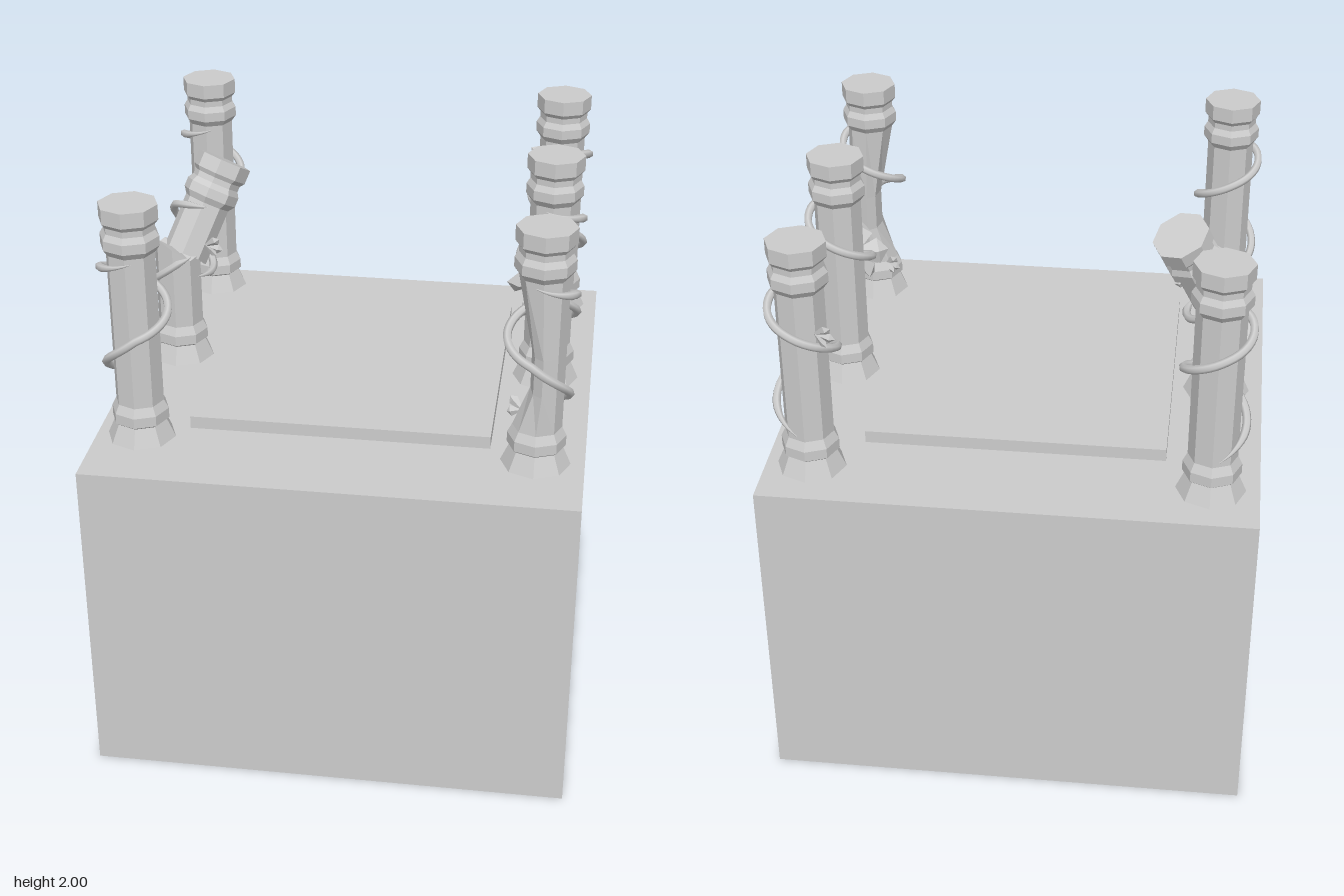
import * as THREE from 'three';

const SIDES = 8, FLOOR = 1.177;
const stone = new THREE.MeshStandardMaterial({ color: 0xcccccc, flatShading: true, side: THREE.DoubleSide });
const smooth = new THREE.MeshStandardMaterial({ color: 0xcccccc, side: THREE.DoubleSide });

// Column profiles as [radius, height]
const BASE = [[0, 1.177], [0.114, 1.177], [0.086, 1.24], [0.095, 1.247], [0.095, 1.282], [0.08, 1.312]];
const CAPITAL = [[0.08, 1.84], [0.096, 1.862], [0.096, 1.895], [0.084, 1.915], [0.084, 1.935],
  [0.096, 1.95], [0.096, 2], [0, 2]];

function add(parent, name, geometry, material = stone) {
  const mesh = new THREE.Mesh(geometry, material);
  mesh.name = name;
  parent.add(mesh);
  return mesh;
}

function lathe(profile) {
  return new THREE.LatheGeometry(profile.map(([r, y]) => new THREE.Vector2(r, y)), SIDES);
}

// Move every vertex of a geometry by a rule
function reshape(geometry, rule) {
  const p = geometry.attributes.position, v = new THREE.Vector3();
  for (let i = 0; i < p.count; i++) {
    rule(v.fromBufferAttribute(p, i));
    p.setXYZ(i, v.x, v.y, v.z);
  }
  geometry.computeVertexNormals();
  return geometry;
}

// Vine winding down the column; turns run from 0 (top tip) to 1 (bottom tip)
const VINE_Y = [1.83, 1.79, 1.72, 1.64, 1.57, 1.45, 1.34];
function vine(side, from = 0, to = 1) {
  const points = [];
  for (let i = 0; i <= 36; i++) {
    const t = from + (to - from) * i / 36;
    const k = Math.min(Math.floor(t * 6), 5), f = t * 6 - k;
    const y = VINE_Y[k] + (VINE_Y[k + 1] - VINE_Y[k]) * f;
    const a = Math.PI / 2 * (1.15 - t * 6);
    const r = 0.092 + 0.016 * Math.sin(Math.PI * t);
    points.push(new THREE.Vector3(side * r * Math.cos(a), y, r * Math.sin(a)));
  }
  const path = new THREE.CatmullRomCurve3(points), n = 56, ring = 7;
  const tube = new THREE.TubeGeometry(path, n, 0.014, ring - 1, false);
  // Taper both tips
  const p = tube.attributes.position, v = new THREE.Vector3();
  for (let i = 0; i <= n; i++) {
    const c = path.getPointAt(i / n), s = Math.min(1, 0.1 + 8 * Math.min(i / n, 1 - i / n));
    for (let j = 0; j < ring; j++) {
      v.fromBufferAttribute(p, i * ring + j).sub(c).multiplyScalar(s).add(c);
      p.setXYZ(i * ring + j, v.x, v.y, v.z);
    }
  }
  return tube;
}

// Faceted petal: narrow at the stem, wide near the tip
function petal(parent, start, end, width) {
  const a = new THREE.Vector3(...start), d = new THREE.Vector3(...end).sub(a), len = d.length();
  const g = new THREE.LatheGeometry([[0, 0], [width * 0.12, 0], [width * 0.5, len * 0.72], [0, len]]
    .map(([r, y]) => new THREE.Vector2(r, y)), 4);
  g.scale(1, 1, 0.6);
  const mesh = add(parent, 'petal', g);
  mesh.position.copy(a);
  mesh.quaternion.setFromUnitVectors(new THREE.Vector3(0, 1, 0), d.normalize());
}

// Small bud of three petals opening around a direction
function bud(parent, x, y, z, dx, dz) {
  const group = new THREE.Group();
  group.name = 'bud';
  for (const [u, w] of [[0.035, 0], [-0.02, 0.03], [-0.015, -0.03]]) {
    petal(group, [x, y, z], [x + dx - dz * w * 12, y + u, z + dz + dx * w * 12], 0.036);
  }
  parent.add(group);
}

function column(name, side, z) {
  const group = new THREE.Group();
  group.name = name;
  group.position.set(side * 0.65, 0, z);
  return group;
}

export function createModel() {
  const model = new THREE.Group();
  model.name = 'columnPlatform';

  // Plinth: four walls and a top, open underneath
  const plinth = new THREE.BoxGeometry(1.62, 1.155, 1.62).toNonIndexed();
  const open = new THREE.BufferGeometry();
  for (const key of ['position', 'normal']) {
    const a = Array.from(plinth.attributes[key].array);
    a.splice(18 * 3, 18); // bottom face
    open.setAttribute(key, new THREE.Float32BufferAttribute(a, 3));
  }
  add(model, 'plinth', open).position.y = 1.155 / 2;

  // Raised floor slab
  add(model, 'floorSlab', new THREE.BoxGeometry(1, 0.043, 1)).position.y = FLOOR + 0.0215;

  // Whole columns
  const rows = [['back', -0.64], ['middle', -0.04], ['front', 0.56]];
  for (const [row, z] of rows) for (const side of [-1, 1]) {
    if (row === 'middle' && side < 0) continue;
    const group = column(row + (side > 0 ? 'Left' : 'Right') + 'Column', side, z);
    const dented = row === 'front' && side > 0;
    const shaft = dented ? [[0.08, 1.45], [0.08, 1.58]] : [];
    const body = lathe([...BASE, ...shaft, ...CAPITAL]);
    // Worn hollow on the inner side of one shaft
    if (dented) reshape(body, v => {
      if (v.y > 1.4 && v.y < 1.6 && v.x < 0.01) v.x = v.x * 0.5 + 0.012;
    });
    add(group, 'columnBody', body);
    add(group, 'vine', vine(side), smooth);
    model.add(group);
  }

  // Broken column: stump
  const broken = column('brokenColumn', -1, -0.04);
  const stump = lathe([...BASE, [0.08, 1.58], [0, 1.58]]);
  add(broken, 'stump', reshape(stump, v => {
    if (v.y > 1.5) v.y += 0.35 * (v.z - v.x) + 0.02 * Math.sin(v.x * 90);
  }));
  add(broken, 'lowerVine', vine(-1, 0.62, 1), smooth);
  model.add(broken);

  // Broken column: toppled upper piece with its own length of vine
  const upper = new THREE.Group();
  upper.name = 'toppledPiece';
  const top = new THREE.Vector3(-0.505, 1.855, -0.205);
  const axis = new THREE.Vector3(0.125, 0.305, -0.13).normalize();
  upper.quaternion.setFromUnitVectors(new THREE.Vector3(0, 1, 0), axis);
  upper.position.copy(top).addScaledVector(axis, -2);
  const piece = lathe([[0, 1.65], [0.08, 1.65], ...CAPITAL]);
  add(upper, 'upperShaft', reshape(piece, v => {
    if (v.y < 1.7) v.y += 0.02 * Math.sin(v.x * 70 + v.z * 40);
  }));
  add(upper, 'upperVine', vine(-1, 0, 0.6), smooth);
  model.add(upper);

  // Large flower on the middle left column
  const flower = new THREE.Group();
  flower.name = 'flower';
  const heart = [0.63, 1.58, 0.05];
  for (const tip of [[0.62, 1.63, 0.2], [0.51, 1.59, 0.09], [0.57, 1.48, 0.12]]) petal(flower, heart, tip, 0.09);
  model.add(flower);

  // Small buds on the vines
  bud(model, 0.59, 1.72, -0.72, -0.055, -0.025);
  bud(model, 0.595, 1.32, 0.48, -0.04, -0.025);
  bud(model, -0.55, 1.6, -0.04, 0.055, 0.02);
  return model;
}
